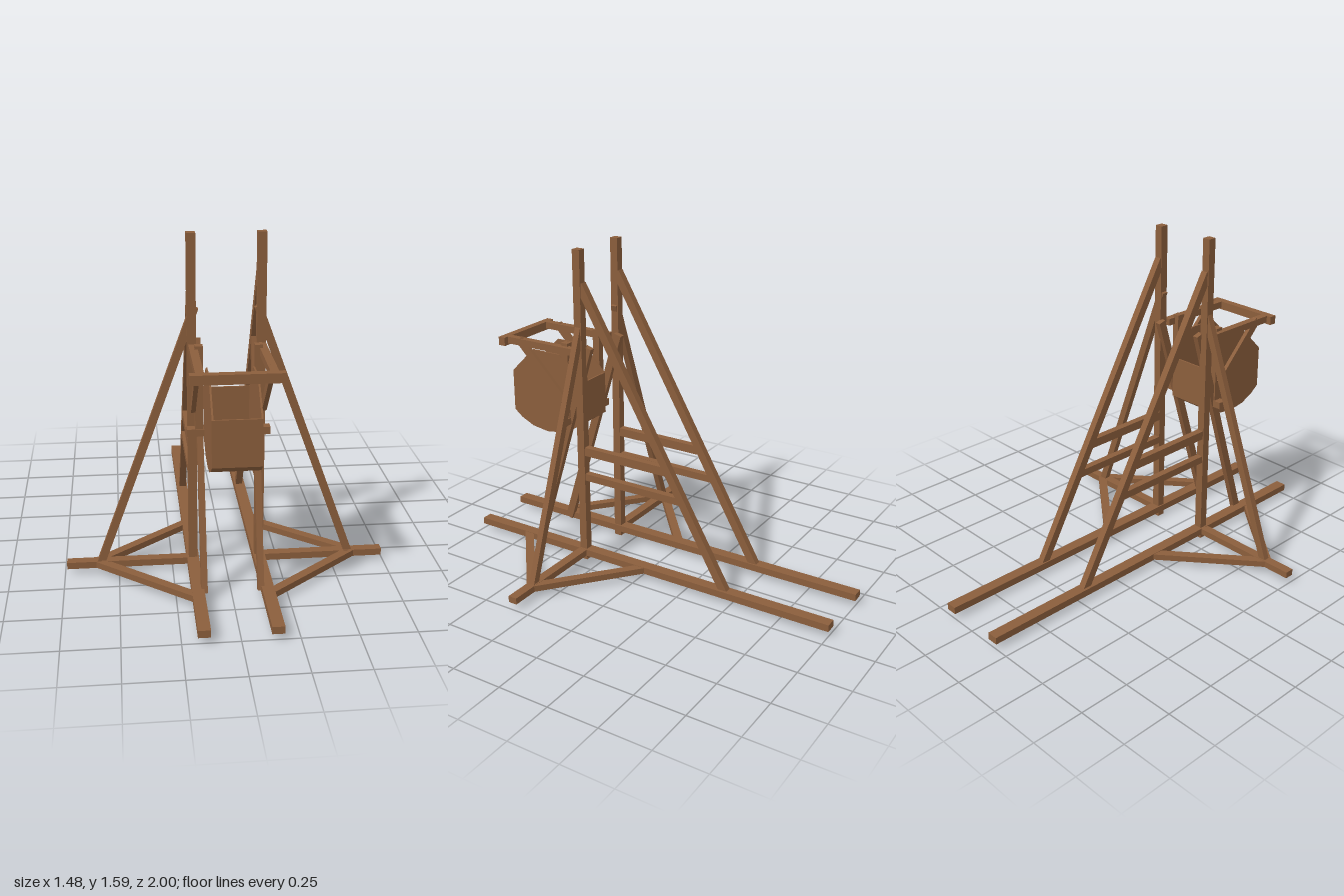
import * as THREE from 'three';

const wood = new THREE.MeshStandardMaterial({ color: 0x8b5e3c });

// Square timber from a to b: w is its horizontal width, t its other thickness
function beam(name, a, b, w, t) {
  const from = new THREE.Vector3(...a), to = new THREE.Vector3(...b);
  const dir = to.clone().sub(from);
  const mesh = new THREE.Mesh(new THREE.BoxGeometry(w, t, dir.length()), wood);
  dir.normalize();
  const up = Math.abs(dir.y) > 0.999 ? new THREE.Vector3(0, 0, 1) : new THREE.Vector3(0, 1, 0);
  const side = up.cross(dir).normalize();
  const third = dir.clone().cross(side);
  mesh.quaternion.setFromRotationMatrix(new THREE.Matrix4().makeBasis(side, third, dir));
  mesh.position.copy(from).add(to).multiplyScalar(0.5);
  mesh.name = name;
  return mesh;
}

// Panel drawn as [z, y] points, extruded along x and centred on x
function panel(name, points, width, x) {
  const shape = new THREE.Shape(points.map(([z, y]) => new THREE.Vector2(-z, y)));
  const geo = new THREE.ExtrudeGeometry(shape, { depth: width, bevelEnabled: false });
  geo.translate(0, 0, -width / 2).rotateY(Math.PI / 2);
  const mesh = new THREE.Mesh(geo, wood);
  mesh.position.x = x;
  mesh.name = name;
  return mesh;
}

function sideFrame(s) {
  const g = new THREE.Group();
  g.name = s > 0 ? 'leftFrame' : 'rightFrame';
  const Z = 0.345, Y = 0.043;
  const add = (name, a, b, w, t) =>
    g.add(beam(name, [s * a[0], a[1], a[2]], [s * b[0], b[1], b[2]], w, t));

  // Ground timbers
  add('skid', [0.155, Y, -1], [0.155, Y, 1], 0.055, 0.034);
  add('outrigger', [0.128, Y, Z], [0.74, Y, Z], 0.045, 0.032);
  for (const dz of [-1, 1])
    add('groundBrace', [0.6, Y, Z], [0.165, Y, Z + dz * 0.357], 0.042, 0.03);

  // Mast and its braces
  add('mast', [0.154, 0, Z], [0.154, 1.59, Z], 0.04, 0.04);
  add('sideBrace', [0.583, 0.045, Z], [0.14, 1.262, Z], 0.03, 0.036);
  add('rearBrace', [0.152, 1.425, 0.337], [0.152, 0.045, -0.46], 0.034, 0.04);
  add('frontStrut', [0.126, 0.035, 0.65], [0.126, 1.115, 0.316], 0.028, 0.04);
  add('upperRail', [0.152, 0.592, 0.34], [0.152, 0.592, -0.13], 0.034, 0.043);
  add('lowerRail', [0.152, 0.456, 0.34], [0.152, 0.456, -0.21], 0.034, 0.036);

  // Bracket carrying the front crossbar
  add('bracketPost', [0.13, 0.715, 0.447], [0.13, 1.12, 0.447], 0.035, 0.037);
  add('bracketPeg', [0.108, 0.724, 0.447], [0.185, 0.724, 0.447], 0.045, 0.034);
  add('bracketArm', [0.152, 1.089, 0.388], [0.152, 1.089, 0.8], 0.036, 0.034);
  add('bracketBrace', [0.156, 1.1, 0.712], [0.156, 0.833, 0.452], 0.02, 0.04);
  return g;
}

export function createModel() {
  const model = new THREE.Group();
  model.name = 'woodenFrame';
  for (const s of [-1, 1]) model.add(sideFrame(s));
  model.add(beam('frontCrossbar', [-0.195, 1.085, 0.794], [0.195, 1.085, 0.794], 0.037, 0.042));

  // Open bucket: a bent floor between two many-sided cheeks
  const floor = [[0.805, 0.91], [0.805, 0.7], [0.76, 0.665], [0.69, 0.633], [0.6, 0.62],
    [0.51, 0.633], [0.44, 0.665], [0.39, 0.7], [0.39, 0.91]];
  const inner = floor.map(([z, y]) => [0.598 + (z - 0.598) * 0.96, y > 0.9 ? y : 0.85 + (y - 0.85) * 0.96]);
  const bucket = new THREE.Group();
  bucket.name = 'bucket';
  bucket.add(panel('bucketFloor', [...floor, ...inner.reverse()], 0.2, 0));
  for (const s of [-1, 1])
    bucket.add(panel('bucketCheek', [...floor, [0.515, 1.04], [0.675, 1.04]], 0.008, s * 0.102));
  model.add(bucket);
  return model;
}
